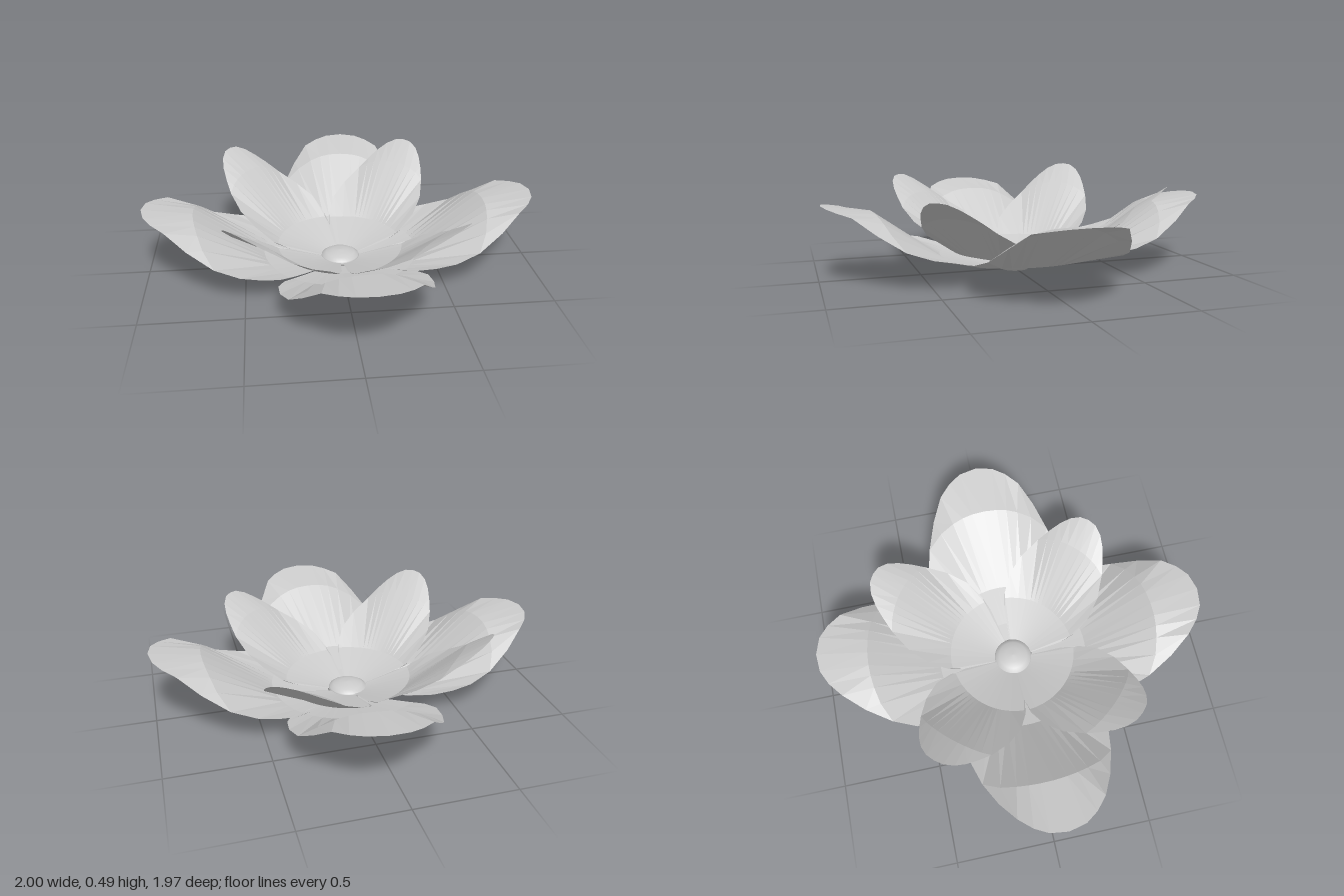
import * as THREE from 'three';

const material = new THREE.MeshStandardMaterial({ color: 0xcccccc, flatShading: true, side: THREE.DoubleSide });
const smooth = new THREE.MeshStandardMaterial({ color: 0xcccccc });

// Height along a petal, interpolated between [distance, height] points
function heightAt(profile, d) {
  for (let i = 1; i < profile.length; i++) {
    const [d0, h0] = profile[i - 1], [d1, h1] = profile[i];
    if (d <= d1 || i === profile.length - 1) return h0 + (h1 - h0) * (d - d0) / (d1 - d0);
  }
}

// Petal pointing along +z: rays fan out from the base to the outline,
// crossed by circular bend lines. It is cupped near the base, and
// 'droop' lowers the sides towards the tip.
function petalGeometry({ outline, profile, bends, droop, power }) {
  const half = new THREE.SplineCurve(outline.map(([l, w]) => new THREE.Vector2(w, l))).getPoints(9);
  const rim = [...half.slice(1).reverse().map(p => new THREE.Vector2(-p.x, p.y)), ...half];
  const radii = [0.03, ...bends, 9];
  const position = [], index = [], reach = [];
  for (const p of rim) {
    const a = Math.atan2(p.x, p.y);
    reach.push(p.length());
    for (const limit of radii) {
      const r = Math.min(limit, p.length());
      const x = r * Math.sin(a), z = r * Math.cos(a);
      position.push(x, heightAt(profile, r - droop * Math.abs(x) ** 2.5 * z ** power), z);
    }
  }
  const n = radii.length;
  for (let i = 0; i < rim.length - 1; i++) {
    for (let j = 0; j < n - 1; j++) {
      const a = i * n + j, b = a + n;
      // skip faces that have shrunk to nothing past the outline
      if (reach[i] > radii[j]) index.push(a, a + 1, b + 1);
      if (reach[i + 1] > radii[j]) index.push(a, b + 1, b);
    }
  }
  const g = new THREE.BufferGeometry();
  g.setAttribute('position', new THREE.Float32BufferAttribute(position, 3));
  g.setIndex(index);
  g.computeVertexNormals();
  return g;
}

export function createModel() {
  const flower = new THREE.Group();
  flower.name = 'flower';

  const outer = petalGeometry({
    outline: [[1, 0], [0.98, 0.1], [0.93, 0.17], [0.85, 0.24], [0.72, 0.31], [0.58, 0.355], [0.46, 0.365], [0.36, 0.335], [0.25, 0.24]],
    profile: [[0, 0.012], [0.1, 0.018], [0.4, 0.09], [0.75, 0.34], [1, 0.38]],
    bends: [0.2, 0.4, 0.75],
    droop: 7,
    power: 2,
  });
  const inner = petalGeometry({
    outline: [[0.76, 0], [0.75, 0.06], [0.71, 0.115], [0.65, 0.16], [0.57, 0.205], [0.43, 0.25], [0.3, 0.235], [0.2, 0.18]],
    profile: [[0, 0.025], [0.1, 0.035], [0.33, 0.115], [0.62, 0.365], [0.76, 0.46]],
    bends: [0.33, 0.62],
    droop: 18,
    power: 3,
  });

  // [heading in degrees, length scale, height scale]
  const rings = [
    ['outerPetal', outer, [[3, 0.985, 1], [90, 1, 1], [174, 0.99, 1], [273, 1, 1]]],
    ['innerPetal', inner, [[45.5, 0.975, 0.95], [145, 1.02, 0.99], [229, 0.99, 1.07], [313.4, 0.985, 1]]],
  ];
  for (const [name, geometry, placements] of rings) {
    placements.forEach(([heading, length, height], i) => {
      const petal = new THREE.Mesh(geometry, material);
      petal.name = name + (i + 1);
      petal.rotation.y = THREE.MathUtils.degToRad(heading);
      petal.scale.set(1, height, length);
      flower.add(petal);
    });
  }

  // Domed button in the middle with a flat underside
  const button = [[0, 0], [0.07, 0], [0.078, 0.015], [0.105, 0.035], [0.097, 0.052], [0.075, 0.066], [0.04, 0.075], [0, 0.078]];
  const centre = new THREE.Mesh(
    new THREE.LatheGeometry(button.map(([r, y]) => new THREE.Vector2(r, y)), 32), smooth);
  centre.name = 'flowerCentre';
  flower.add(centre);

  return flower;
}
